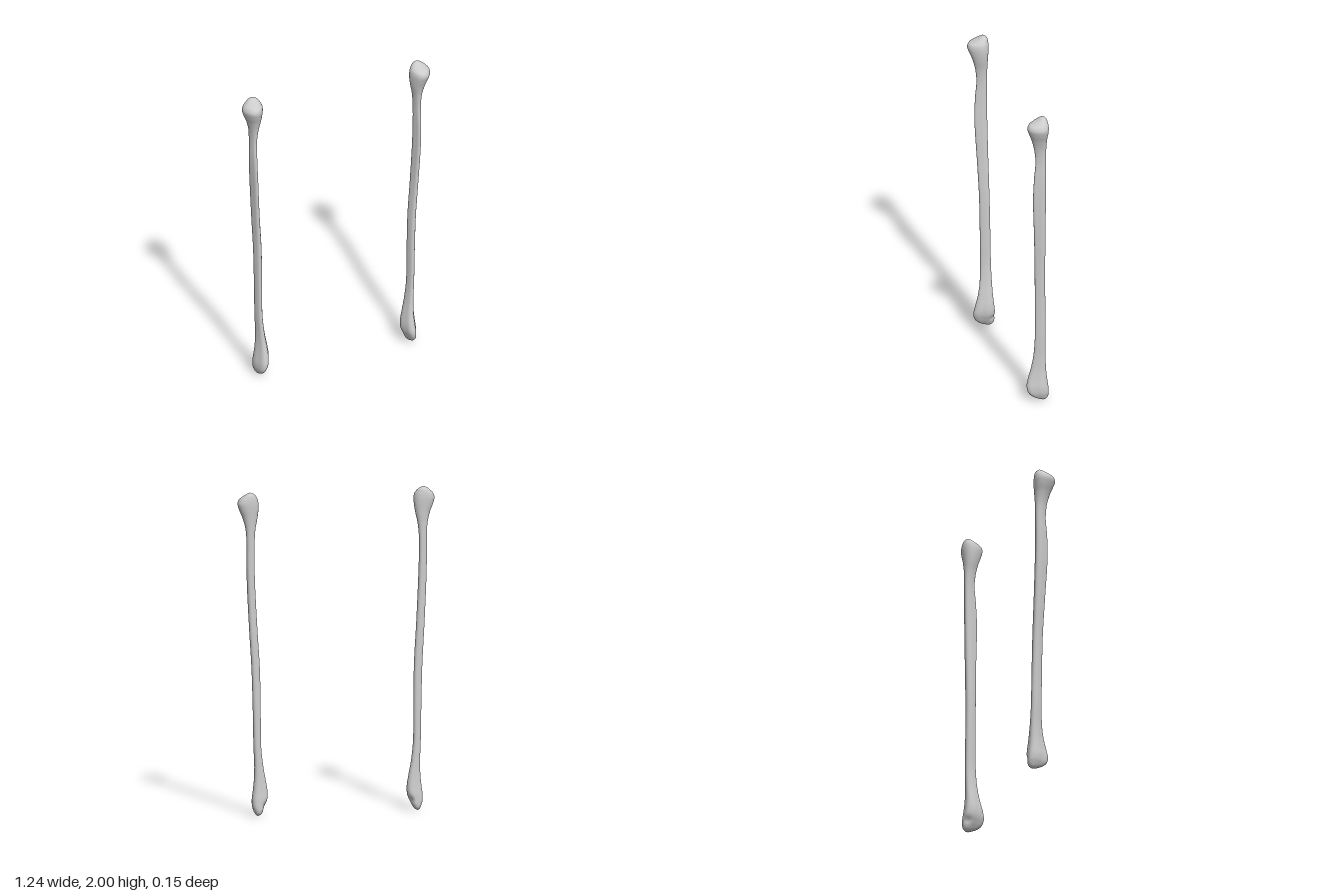
import * as THREE from 'three';

// Cross-sections from the ankle tip to the knee end:
// [height, inner x, outer x, back z, front z, triangularity]
const SECTIONS = [
  [0.004, 0.494, 0.512, -0.055, -0.03, 0.02],
  [0.014, 0.482, 0.52, -0.068, -0.004, 0.05],
  [0.032, 0.471, 0.528, -0.074, 0.028, 0.09],
  [0.06, 0.457, 0.536, -0.075, 0.052, 0.12],
  [0.1, 0.443, 0.537, -0.072, 0.06, 0.13],
  [0.15, 0.441, 0.531, -0.066, 0.05, 0.13],
  [0.22, 0.452, 0.524, -0.06, 0.032, 0.12],
  [0.31, 0.468, 0.522, -0.057, 0.018, 0.1],
  [0.44, 0.481, 0.527, -0.055, 0.012, 0.08],
  [0.65, 0.483, 0.531, -0.052, 0.013, 0.09],
  [0.9, 0.487, 0.538, -0.048, 0.016, 0.1],
  [1.15, 0.502, 0.552, -0.045, 0.025, 0.12],
  [1.4, 0.515, 0.564, -0.043, 0.036, 0.13],
  [1.56, 0.52, 0.568, -0.043, 0.032, 0.13],
  [1.68, 0.52, 0.568, -0.044, 0.022, 0.1],
  [1.77, 0.513, 0.573, -0.045, 0.029, 0.06],
  [1.84, 0.499, 0.59, -0.048, 0.046, 0.05],
  [1.89, 0.492, 0.61, -0.052, 0.065, 0.06],
  [1.927, 0.491, 0.62, -0.054, 0.076, 0.06],
  [1.952, 0.495, 0.613, -0.053, 0.069, 0.05],
  [1.966, 0.502, 0.601, -0.051, 0.046, 0.03],
  [1.981, 0.512, 0.584, -0.047, 0.014, 0.0],
  [1.993, 0.526, 0.568, -0.038, -0.005, 0.0],
  [1.999, 0.54, 0.555, -0.028, -0.016, 0.0],
];
const RINGS = 150;
const SIDES = 40;

// Rounded triangle pointing forward, stretched to fill -1..1 on both axes
function unitRing(tri) {
  const ring = [];
  for (let i = 0; i < SIDES; i++) {
    const a = (i / SIDES) * Math.PI * 2;
    const r = 1 + tri * Math.cos(3 * (a - Math.PI / 2));
    ring.push(new THREE.Vector2(r * Math.cos(a), r * Math.sin(a)));
  }
  const box = new THREE.Box2().setFromPoints(ring);
  const mid = box.getCenter(new THREE.Vector2());
  const half = box.getSize(new THREE.Vector2()).multiplyScalar(0.5);
  return ring.map((p) => p.sub(mid).divide(half));
}

function boneGeometry(mirror) {
  const curve = (a, b, c) => new THREE.CatmullRomCurve3(
    SECTIONS.map((s) => new THREE.Vector3(s[a], s[b], s[c])), false, 'catmullrom', 0.5);
  const outline = curve(0, 1, 2);
  const depth = curve(3, 4, 5);
  const points = [];
  const index = [];
  const face = (a, b, c) => (mirror < 0 ? index.push(a, c, b) : index.push(a, b, c));
  const fossa = new THREE.Vector3(0.462, 0.065, -0.06);

  for (let j = 0; j <= RINGS; j++) {
    const { x: y, y: x0, z: x1 } = outline.getPoint(j / RINGS);
    const { x: z0, y: z1, z: tri } = depth.getPoint(j / RINGS);
    for (const p of unitRing(tri)) {
      const v = new THREE.Vector3(
        (x0 + x1) / 2 + (p.x * (x1 - x0)) / 2, y, (z0 + z1) / 2 + (p.y * (z1 - z0)) / 2);
      // Shallow hollow at the inner back of the ankle end
      const dent = 0.011 * Math.exp(-v.distanceToSquared(fossa) / 0.0006);
      v.x += dent * 0.7;
      v.z += dent * 0.7;
      points.push(v);
    }
  }
  for (let j = 0; j < RINGS; j++) {
    for (let i = 0; i < SIDES; i++) {
      const k = (i + 1) % SIDES;
      const a = j * SIDES + i, b = j * SIDES + k;
      face(a, a + SIDES, b);
      face(b, a + SIDES, b + SIDES);
    }
  }
  // Close both ends with a fan
  const bottom = points.push(new THREE.Vector3(0.503, 0, -0.043)) - 1;
  const top = points.push(new THREE.Vector3(0.5475, 2, -0.022)) - 1;
  for (let i = 0; i < SIDES; i++) {
    const k = (i + 1) % SIDES;
    face(bottom, i, k);
    face(top, RINGS * SIDES + k, RINGS * SIDES + i);
  }

  points.forEach((p) => { p.x *= mirror; });
  const geometry = new THREE.BufferGeometry().setFromPoints(points);
  geometry.setIndex(index);
  geometry.computeVertexNormals();
  return geometry;
}

export function createModel() {
  const model = new THREE.Group();
  model.name = 'calfBones';
  const material = new THREE.MeshStandardMaterial({ color: 0xcccccc });
  for (const [name, mirror] of [['leftFibula', 1], ['rightFibula', -1]]) {
    const bone = new THREE.Mesh(boneGeometry(mirror), material);
    bone.name = name;
    model.add(bone);
  }
  return model;
}
